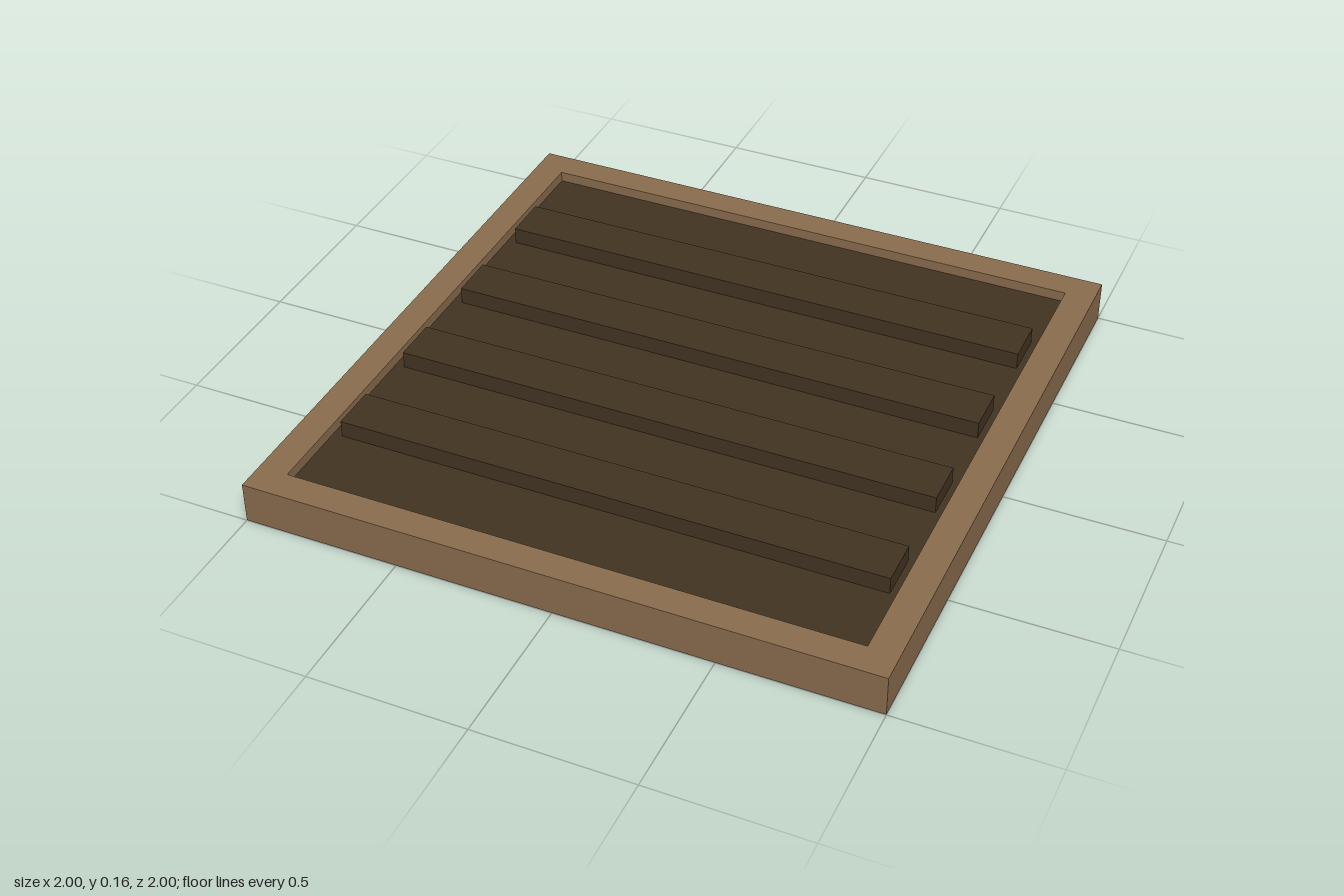
import * as THREE from 'three';

const frameWood = new THREE.MeshStandardMaterial({ name: 'frameWood', color: 0x8b6d4f });
const darkWood = new THREE.MeshStandardMaterial({ name: 'darkWood', color: 0x423422 });

// Closed square outline of the given half width
function square(half, Type) {
  const s = new Type();
  s.moveTo(-half, -half);
  s.lineTo(half, -half);
  s.lineTo(half, half);
  s.lineTo(-half, half);
  s.closePath();
  return s;
}

function box(name, w, d, bottom, top, z = 0) {
  const mesh = new THREE.Mesh(new THREE.BoxGeometry(w, top - bottom, d), darkWood);
  mesh.name = name;
  mesh.position.set(0, (top + bottom) / 2, z);
  return mesh;
}

export function createModel() {
  const model = new THREE.Group();
  model.name = 'slattedHatch';

  // Square outer frame, a hair above the panel's underside
  const outline = square(1, THREE.Shape);
  outline.holes.push(square(0.905, THREE.Path));
  const frameGeometry = new THREE.ExtrudeGeometry(outline, { depth: 0.133, bevelEnabled: false });
  frameGeometry.rotateX(-Math.PI / 2);
  const frame = new THREE.Mesh(frameGeometry, frameWood);
  frame.name = 'frame';
  frame.position.y = 0.001;
  model.add(frame);

  // Recessed panel, let into the frame
  model.add(box('panel', 1.85, 1.85, 0, 0.1));

  // Four raised slats across the panel
  const slats = new THREE.Group();
  slats.name = 'slats';
  for (let i = 0; i < 4; i++) {
    slats.add(box('slat', 1.75, 0.15, 0.09, 0.155, (i - 1.5) * 0.381));
  }
  model.add(slats);

  return model;
}
